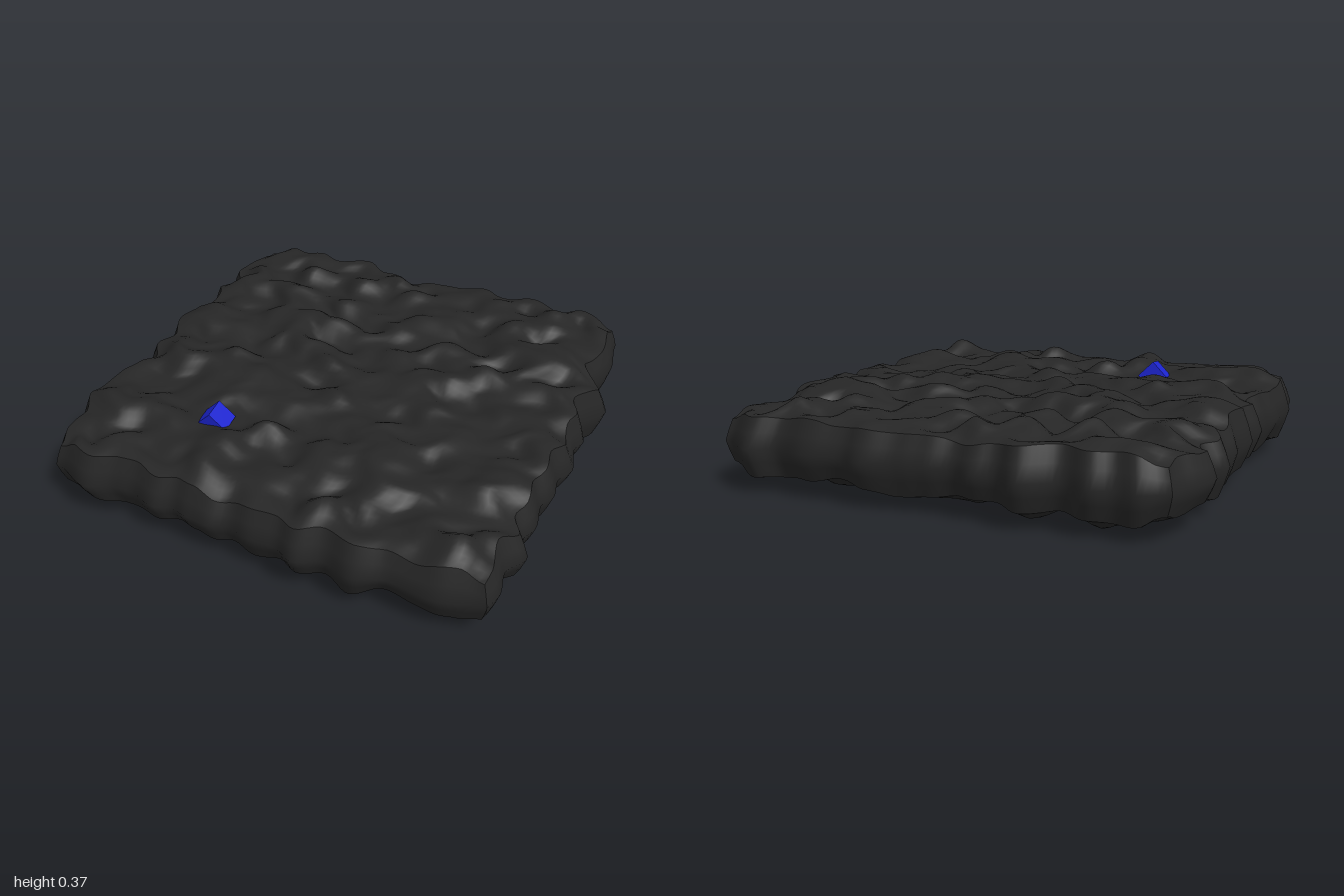
import * as THREE from 'three';

const HALF = 0.91; // corner distance from the centre
const MID = 0.187; // height of the slab's middle plane
const { lerp, clamp, smoothstep } = THREE.MathUtils;

// Wavy outline of each side: pairs of (position along side, distance from centre)
const leftSide = [-0.91, 0.91, -0.66, 0.99, -0.57, 0.94, -0.48, 0.99, -0.38, 0.94, -0.27, 0.965, -0.2, 0.95, -0.07, 0.975,
  0.03, 0.94, 0.12, 0.97, 0.22, 0.92, 0.3, 0.95, 0.4, 0.98, 0.6, 0.985, 0.7, 0.945, 0.8, 0.95, 0.91, 0.9];
const rightSide = [-0.91, 0.9, -0.7, 0.93, -0.53, 0.89, -0.37, 0.99, -0.23, 0.92, -0.13, 0.96, -0.07, 0.94, 0.07, 0.97,
  0.15, 0.935, 0.25, 0.95, 0.32, 0.92, 0.45, 0.94, 0.53, 0.915, 0.62, 0.96, 0.72, 0.91, 0.83, 0.93, 0.91, 0.91];
const backSide = [-0.91, 0.91, -0.8, 0.96, -0.73, 0.945, -0.64, 0.975, -0.53, 0.93, -0.38, 1, -0.28, 0.95, -0.2, 0.965,
  -0.1, 0.925, 0, 0.945, 0.1, 0.955, 0.25, 0.985, 0.35, 0.955, 0.5, 0.97, 0.65, 0.935, 0.75, 0.985, 0.91, 0.9];
const frontSide = [-0.91, 0.9, -0.73, 0.965, -0.62, 0.92, -0.55, 0.915, -0.42, 0.955, -0.35, 0.93, -0.27, 0.95, -0.18, 0.96,
  -0.1, 0.935, 0, 0.96, 0.1, 0.955, 0.2, 0.995, 0.3, 0.95, 0.42, 0.985, 0.55, 0.94, 0.72, 0.96, 0.91, 0.915];

const ease = (t) => t * t * (3 - 2 * t);

// Smooth value of an outline at position p
function outline(pairs, p) {
  let i = 0;
  while (i < pairs.length - 4 && p > pairs[i + 2]) i += 2;
  const t = clamp((p - pairs[i]) / (pairs[i + 2] - pairs[i]), 0, 1);
  return lerp(pairs[i + 1], pairs[i + 3], ease(t));
}

// Repeatable smooth noise between -1 and 1
function hash(i, j, seed) {
  let h = Math.imul(i + 101, 374761393) ^ Math.imul(j + 211, 668265263) ^ Math.imul(seed, 974634777);
  h = Math.imul(h ^ (h >>> 13), 1274126177);
  h = Math.imul(h ^ (h >>> 15), 2246822519);
  return ((h ^ (h >>> 16)) >>> 0) / 2147483648 - 1;
}
function noise(x, z, seed) {
  const i = Math.floor(x), j = Math.floor(z);
  const a = ease(x - i), b = ease(z - j);
  return lerp(
    lerp(hash(i, j, seed), hash(i + 1, j, seed), a),
    lerp(hash(i, j + 1, seed), hash(i + 1, j + 1, seed), a), b);
}

// Half thickness of the slab, thinner at the rim and thinnest at the corners
function thickness(u, w, seed) {
  const du = 1 - Math.abs(u), dw = 1 - Math.abs(w);
  const inside = smoothstep(Math.min(du, dw), -0.04, 0.13);
  const fromCorner = smoothstep(Math.max(du, dw), 0, 0.1);
  const bumps = 0.046 * noise(u * 7, w * 9, seed) + 0.006 * noise(u * 14, w * 18, seed + 3);
  // level hollow holding the crystal, on the top only
  const hollow = seed === 1 ? Math.exp(-((u + 0.37) ** 2 + (w - 0.57) ** 2) / 0.012) : 0;
  return 0.085 + 0.02 * fromCorner + 0.032 * inside * fromCorner
    + bumps * fromCorner * (0.5 + 0.5 * inside) * (1 - hollow) - 0.016 * hollow;
}

// How far the rim sits inside the middle ridge, t being the height from -1 to 1
const rimInset = (along, t) => Math.abs(t) ** 1.2 * (0.022 + 0.02 * smoothstep(1 - Math.abs(along), 0, 0.12));

// Rough stone slab: a finely divided box pushed into shape, its sides bulging to a middle ridge
function slabGeometry() {
  const geometry = new THREE.BoxGeometry(2, 2, 2, 84, 4, 84);
  const pos = geometry.attributes.position;
  for (let k = 0; k < pos.count; k++) {
    const u = pos.getX(k), t = pos.getY(k), w = pos.getZ(k);
    const insetX = rimInset(w, t), insetZ = rimInset(u, t);
    const x = lerp(-outline(leftSide, w * HALF) + insetX, outline(rightSide, w * HALF) - insetX, (u + 1) / 2);
    const z = lerp(-outline(backSide, u * HALF) + insetZ, outline(frontSide, u * HALF) - insetZ, (w + 1) / 2);
    pos.setXYZ(k, x, MID + t * thickness(u, w, t > 0 ? 1 : 2), z);
  }
  geometry.computeVertexNormals();
  geometry.computeBoundingBox();
  geometry.translate(0, -geometry.boundingBox.min.y, 0);
  return geometry;
}

export function createModel() {
  const model = new THREE.Group();

  const slab = new THREE.Mesh(slabGeometry(), new THREE.MeshStandardMaterial({ color: 0x262626 }));
  slab.name = 'stoneSlab';
  model.add(slab);

  // Small blue cube lying on one edge, half sunk into the stone
  const crystal = new THREE.Mesh(
    new THREE.BoxGeometry(0.092, 0.092, 0.092),
    new THREE.MeshStandardMaterial({ color: 0x1c24d0 }));
  crystal.name = 'blueCrystal';
  crystal.position.set(-0.385, 0.305, 0.515);
  crystal.rotation.set(0.1, 0.06, Math.PI / 4);
  model.add(crystal);

  return model;
}
